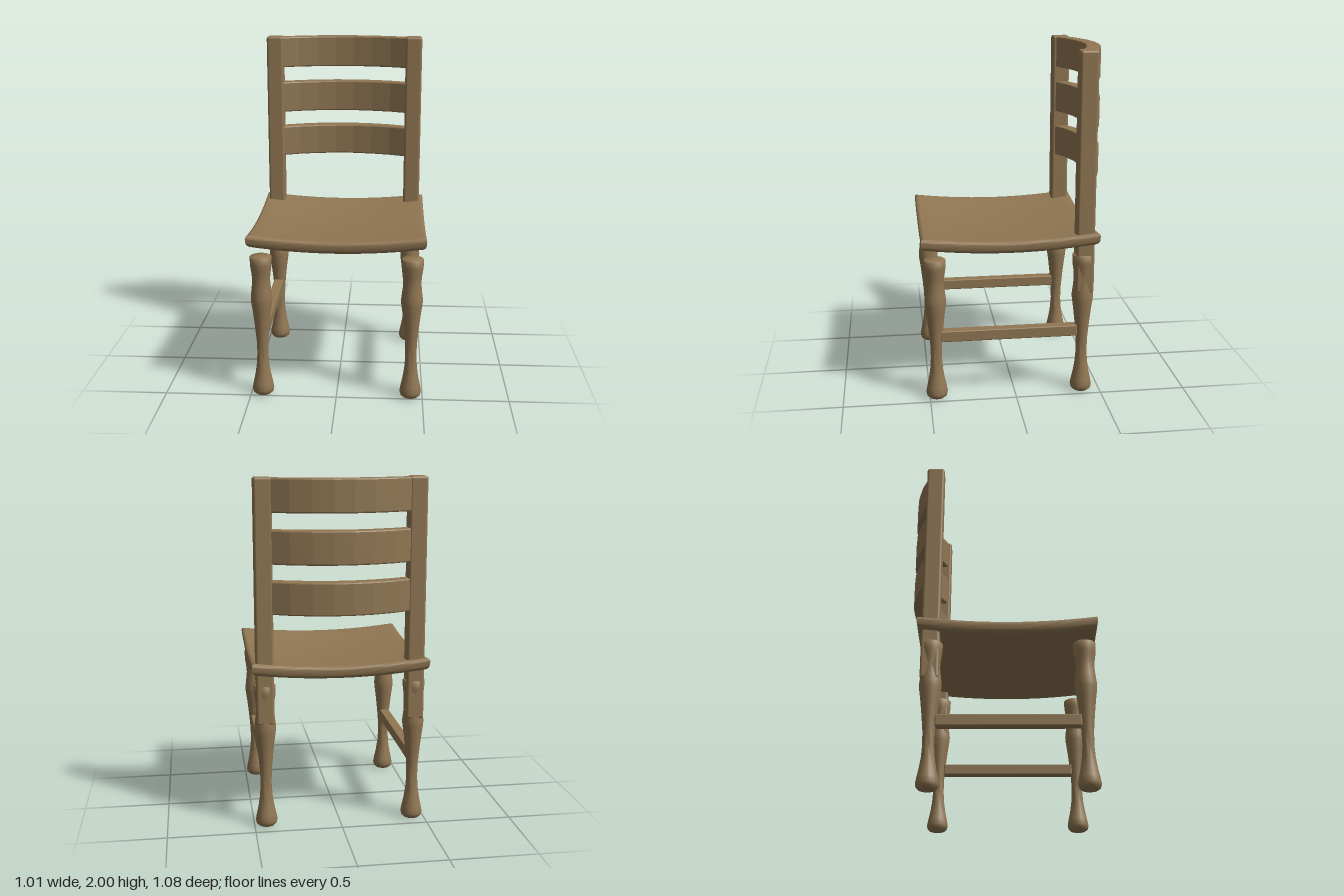
import * as THREE from 'three';
import { mergeVertices, toCreasedNormals } from 'three/addons/utils/BufferGeometryUtils.js';
import { RoundedBoxGeometry } from 'three/addons/geometries/RoundedBoxGeometry.js';

const wood = new THREE.MeshStandardMaterial({ color: 0x917753 });
wood.name = 'wood';

function add(parent, name, geometry, x = 0, y = 0, z = 0) {
  const mesh = new THREE.Mesh(geometry, wood);
  mesh.name = name;
  mesh.position.set(x, y, z);
  parent.add(mesh);
  return mesh;
}

// Dished seat slab: rounded rim, mitred corners, edges swept up all round
function seatGeometry() {
  const half = 0.5, halfY = 0.035, r = 0.024;
  const geo = new THREE.BoxGeometry(2, 2, 2, 20, 8, 20);
  geo.deleteAttribute('uv');
  geo.deleteAttribute('normal');
  const p = geo.attributes.position;
  // Split a grid coordinate into its flat part and its part inside the rounding
  const split = (t, size, limit) => {
    const a = Math.abs(t);
    return [Math.min(a / limit, 1) * (size - r), Math.max((a - limit) / (1 - limit), 0) * r];
  };
  for (let i = 0; i < p.count; i++) {
    const gx = p.getX(i), gy = p.getY(i), gz = p.getZ(i);
    const [x0, dx] = split(gx, half, 0.7);
    const [y0, dy] = split(gy, halfY, 0.25);
    const [z0, dz] = split(gz, half, 0.7);
    const d = Math.max(dx, dz);
    const s = d > 0 && dy > 0 ? Math.max(d, dy) / Math.hypot(d, dy) : 1;
    const x = Math.sign(gx) * (x0 + dx * s);
    const y = Math.sign(gy) * (y0 + dy * s);
    const z = Math.sign(gz) * (z0 + dz * s);
    const flare = 1 + 0.008 + 0.2 * y;
    p.setXYZ(i, x * flare, y + 0.135 * (x * x + z * z), z * flare);
  }
  return toCreasedNormals(mergeVertices(geo), 0.7);
}

// Turned leg profile: radius, height
const legGeometry = new THREE.LatheGeometry([
  [0, 0], [0.045, 0.003], [0.058, 0.015], [0.063, 0.035], [0.057, 0.07], [0.046, 0.12],
  [0.037, 0.18], [0.032, 0.25], [0.034, 0.33], [0.042, 0.42], [0.052, 0.51], [0.061, 0.575],
  [0.062, 0.6], [0.056, 0.65], [0.051, 0.7], [0.054, 0.74], [0.06, 0.78], [0.062, 0.8],
  [0.063, 0.84], [0.058, 0.845], [0, 0.845],
].map(([x, y]) => new THREE.Vector2(x, y)), 20);

// Bowed back slat, bevelled along its edges
function slatGeometry(height) {
  const outer = [[0.42, 0.43], [0.385, 0.447], [0.29, 0.49], [0.17, 0.524], [0.055, 0.54]];
  const inner = [[0.055, 0.455], [0.17, 0.438], [0.285, 0.407], [0.385, 0.363], [0.42, 0.35]];
  const mirror = (list) => list.map(([x, z]) => [-x, z]).reverse();
  const outline = [...outer, ...mirror(outer), ...mirror(inner), ...inner];
  const b = 0.008;
  const geo = new THREE.ExtrudeGeometry(
    new THREE.Shape(outline.map(([x, z]) => new THREE.Vector2(x, z))),
    { depth: height - 2 * b, bevelSize: b, bevelThickness: b, bevelOffset: -b, bevelSegments: 2 });
  geo.translate(0, 0, b);
  return geo.rotateX(-Math.PI / 2);
}

export function createModel() {
  const chair = new THREE.Group();
  chair.name = 'chair';

  add(chair, 'seat', seatGeometry(), 0, 0.885, 0.03);

  // Legs, side stretchers and back posts
  for (const [side, sx] of [['left', 1], ['right', -1]]) {
    const x = sx * 0.43;
    add(chair, side + 'FrontLeg', toCreasedNormals(legGeometry, 0.9), x, 0, 0.459);
    add(chair, side + 'BackLeg', toCreasedNormals(legGeometry, 0.9), x, 0, -0.392);
    add(chair, side + 'Stretcher', new RoundedBoxGeometry(0.06, 0.065, 0.79, 2, 0.006), x, 0.383, 0.035);
    add(chair, side + 'BackPost', new RoundedBoxGeometry(0.1, 1.38, 0.103, 3, 0.014), x, 1.31, -0.398);
  }

  // Ladder back
  for (const [name, bottom, top] of [
    ['lowerSlat', 1.252, 1.437], ['middleSlat', 1.53, 1.717], ['topSlat', 1.81, 1.996]]) {
    add(chair, name, slatGeometry(top - bottom), 0, bottom, 0);
  }
  return chair;
}
